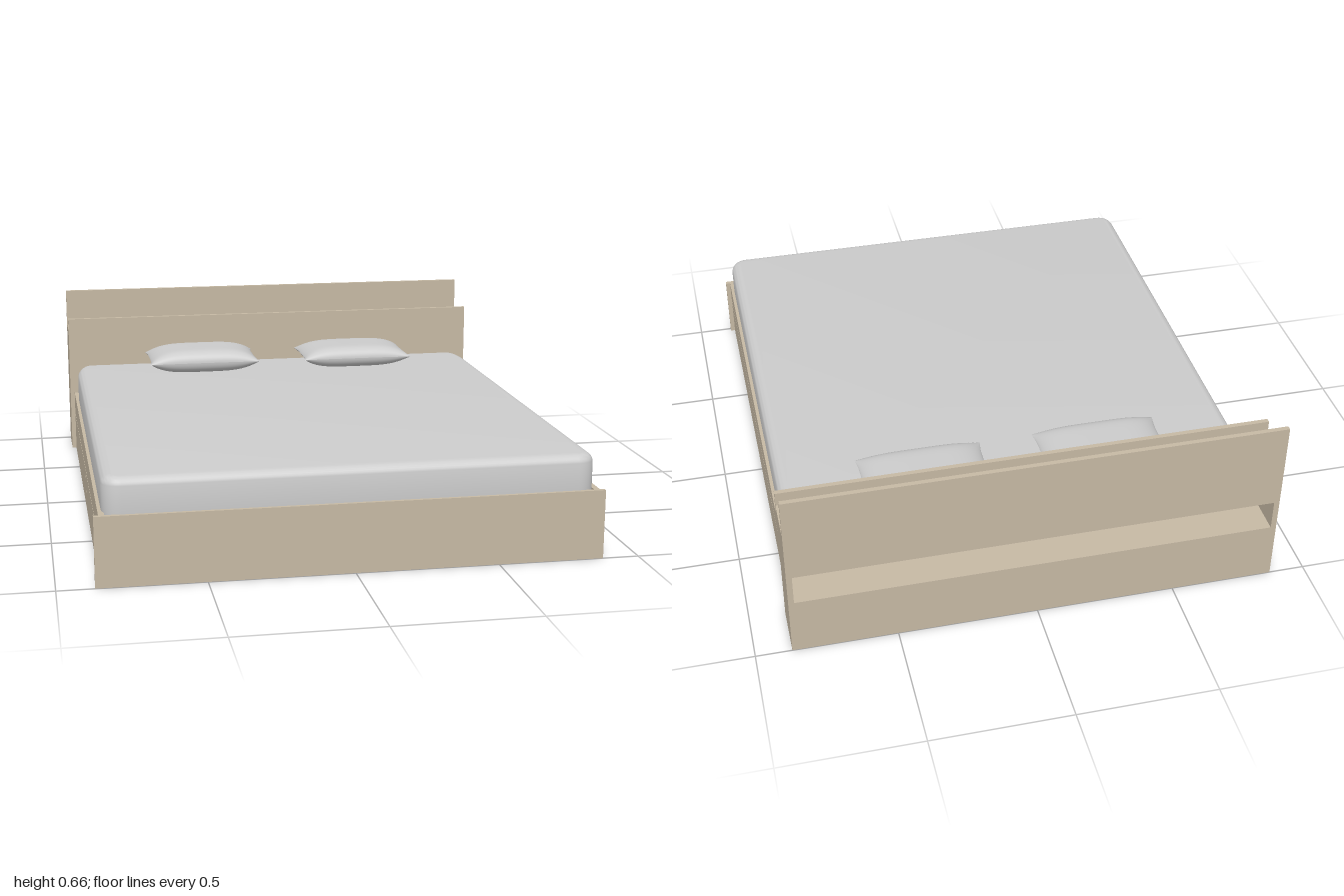
import * as THREE from 'three';
import { toCreasedNormals } from 'three/addons/utils/BufferGeometryUtils.js';

const wood = new THREE.MeshStandardMaterial({ color: 0xc6b9a4 });
wood.name = 'wood';
const linen = new THREE.MeshStandardMaterial({ color: 0xcccccc });
linen.name = 'linen';

// Box given by its min and max on each axis
function board(parent, name, [x0, x1], [y0, y1], [z0, z1]) {
  const mesh = new THREE.Mesh(new THREE.BoxGeometry(x1 - x0, y1 - y0, z1 - z0), wood);
  mesh.position.set((x0 + x1) / 2, (y0 + y1) / 2, (z0 + z1) / 2);
  mesh.name = name;
  parent.add(mesh);
}

// Hollow storage headboard with a slot in the back and a shelf on top
function makeHeadboard() {
  const g = new THREE.Group();
  g.name = 'headboard';
  const W = 0.872, I = 0.852;
  board(g, 'headboardFront', [-W, W], [0, 0.565], [-0.832, -0.815]);
  board(g, 'headboardBackUpper', [-W, W], [0.335, 0.66], [-1, -0.983]);
  board(g, 'headboardBackLower', [-W, W], [0, 0.22], [-1, -0.983]);
  for (const s of [-1, 1]) {
    const xs = [s * I, s * W].sort((a, b) => a - b);
    board(g, 'headboardSide', xs, [0, 0.515], [-0.983, -0.832]);
    board(g, 'slotEnd', xs, [0.22, 0.335], [-1, -0.983]);
    // Small round outlets on the shelf
    for (const dx of [-0.03, 0.03]) {
      const outlet = new THREE.Mesh(new THREE.CylinderGeometry(0.018, 0.018, 0.005, 24), wood);
      outlet.position.set(s * 0.73 + dx, 0.5175, -0.91);
      outlet.name = 'shelfOutlet';
      g.add(outlet);
    }
  }
  board(g, 'headboardShelf', [-I, I], [0.498, 0.515], [-0.983, -0.832]);
  board(g, 'slotCeiling', [-I, I], [0.335, 0.352], [-0.983, -0.832]);
  board(g, 'slotFloor', [-I, I], [0.203, 0.22], [-0.983, -0.832]);
  board(g, 'headboardBottom', [-I, I], [0, 0.017], [-0.983, -0.832]);
  return g;
}

// Footboard, side rails, platform, dividers and four drawers
function makeBase() {
  const g = new THREE.Group();
  g.name = 'bedBase';
  board(g, 'footboard', [-0.872, 0.872], [0, 0.245], [0.984, 1]);
  board(g, 'platform', [-0.835, 0.835], [0.16, 0.235], [-0.815, 0.984]);
  board(g, 'longDivider', [-0.01, 0.01], [0, 0.16], [-0.815, 0.984]);
  for (const s of [-1, 1]) {
    const span = (a, b) => [s * a, s * b].sort((p, q) => p - q);
    board(g, 'sideRail', span(0.835, 0.855), [0.157, 0.245], [-0.815, 0.984]);
    board(g, 'crossDivider', span(0.01, 0.825), [0, 0.16], [0.079, 0.095]);
    for (const [z0, z1] of [[-0.81, 0.084], [0.09, 0.979]]) {
      board(g, 'drawerFront', span(0.837, 0.855), [0, 0.151], [z0, z1]);
      board(g, 'drawerBox', span(0.025, 0.837), [0.02, 0.145], [z0 + 0.015, z1 - 0.015]);
    }
  }
  return g;
}

// Mattress: rounded plan extruded upward with a soft edge
function makeMattress() {
  const b = 0.035, X = 0.843 - b, Y0 = -0.987 + b, Y1 = 0.815 - b;
  const s = new THREE.Shape();
  s.moveTo(-X + 0.03, Y0);
  s.lineTo(X - 0.03, Y0);
  s.quadraticCurveTo(X, Y0, X, Y0 + 0.03);
  s.lineTo(X, Y1 - 0.12);
  s.quadraticCurveTo(X, Y1, X - 0.03, Y1);
  s.lineTo(-X + 0.03, Y1);
  s.quadraticCurveTo(-X, Y1, -X, Y1 - 0.12);
  s.lineTo(-X, Y0 + 0.03);
  s.quadraticCurveTo(-X, Y0, -X + 0.03, Y0);
  const geo = new THREE.ExtrudeGeometry(s, {
    depth: 0.168 - 2 * b, bevelThickness: b, bevelSize: b, bevelSegments: 8, curveSegments: 10,
  });
  geo.rotateX(-Math.PI / 2);
  geo.translate(0, 0.2 + b, 0);
  const mesh = new THREE.Mesh(toCreasedNormals(geo, 0.7), linen);
  mesh.name = 'mattress';
  return mesh;
}

// Pillow: two puffed sheets meeting at a seam, edges pinched between the corners
function makePillow(x, height) {
  const g = new THREE.Group();
  g.name = 'pillow';
  for (const side of [1, -1]) {
    const geo = new THREE.PlaneGeometry(2, 2, 40, 32);
    geo.rotateX(-side * Math.PI / 2);
    const p = geo.attributes.position;
    for (let i = 0; i < p.count; i++) {
      // Sine spacing packs rows near the seam
      const u = Math.sin(p.getX(i) * Math.PI / 2), v = Math.sin(p.getZ(i) * Math.PI / 2);
      const puff = Math.pow(Math.max(0, 1 - u ** 4), 0.75) * Math.pow(Math.max(0, 1 - v ** 6), 0.55);
      p.setXYZ(i,
        0.23 * u * (1 - 0.04 * (1 - v ** 4)),
        side * height / 2 * puff,
        0.138 * v * (1 - 0.04 * (1 - u ** 4)));
    }
    geo.computeVertexNormals();
    const mesh = new THREE.Mesh(geo, linen);
    mesh.name = side > 0 ? 'pillowTop' : 'pillowUnderside';
    g.add(mesh);
  }
  g.position.set(x, 0.365 + height / 2, -0.667);
  return g;
}

export function createModel() {
  const model = new THREE.Group();
  model.name = 'bed';
  model.add(makeHeadboard(), makeBase(), makeMattress());
  model.add(makePillow(-0.32, 0.096), makePillow(0.33, 0.09));
  return model;
}
